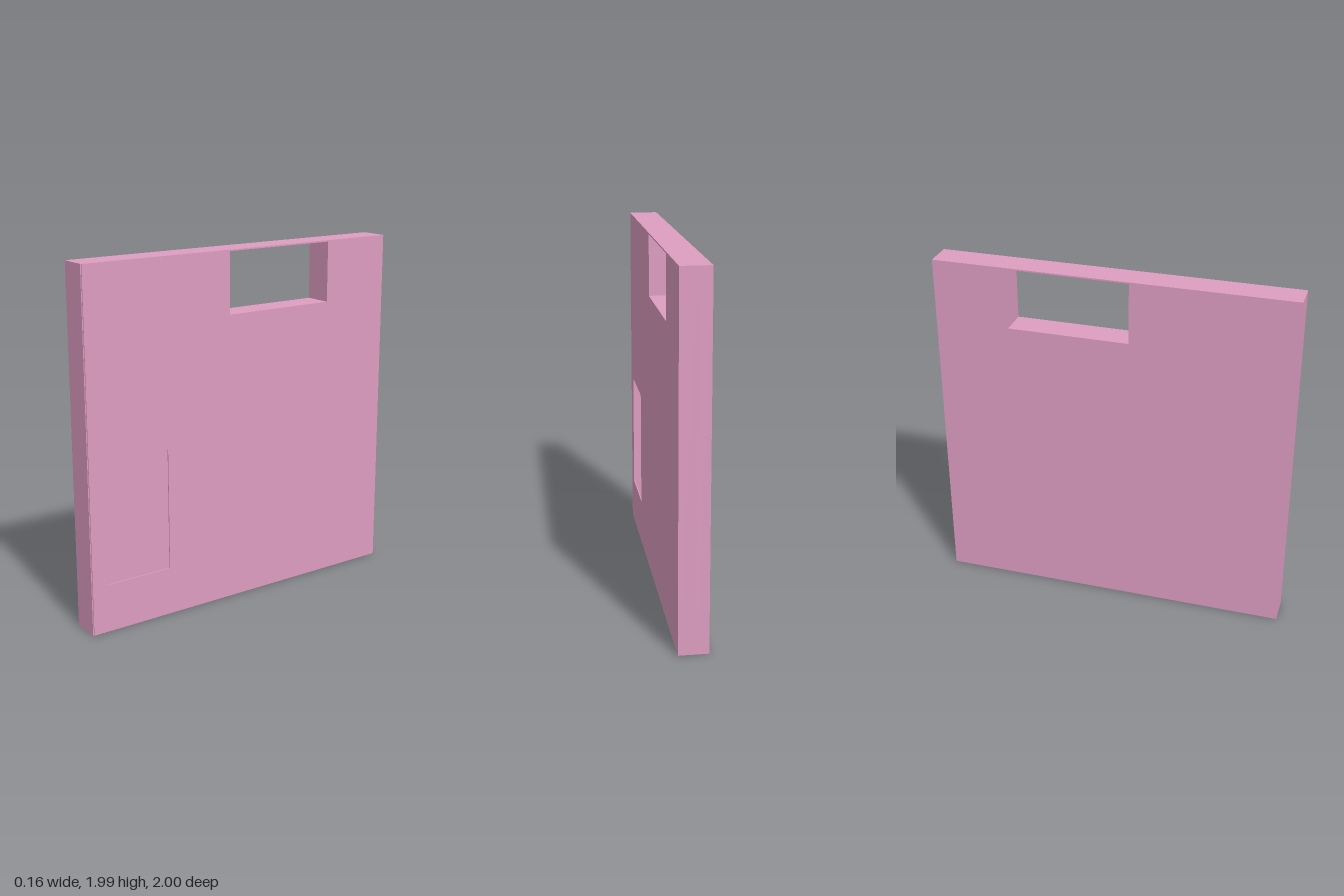
import * as THREE from 'three';

const material = new THREE.MeshStandardMaterial({ color: 0xdd9dc1, flatShading: true });

const HEIGHT = 1.99, HALF_THICK = 0.081;
// rectangles are [zFront, zBack, yBottom, yTop]
const WINDOW = [0.1, -0.58, 1.64, 1.982];
const SLOT = [0.9, 0.51, 0.27, 0.955];
const CAVITY = [0.9, -0.8, 0.05, 1.5];

// rectangle outline in the side plane, where shape x runs along -z
function rectangle(Type, [zFront, zBack, yBottom, yTop]) {
  const path = new Type();
  path.moveTo(-zFront, yBottom);
  path.lineTo(-zBack, yBottom);
  path.lineTo(-zBack, yTop);
  path.lineTo(-zFront, yTop);
  path.closePath();
  return path;
}

// flat layer with rectangular holes, spanning x0 to x1
function layer(name, x0, x1, zFront, holes) {
  const shape = rectangle(THREE.Shape, [zFront, -1, 0, HEIGHT]);
  shape.holes = holes.map((hole) => rectangle(THREE.Path, hole));
  const geometry = new THREE.ExtrudeGeometry(shape, { depth: x1 - x0, bevelEnabled: false });
  geometry.rotateY(Math.PI / 2);
  geometry.translate(x0, 0, 0);
  const mesh = new THREE.Mesh(geometry, material);
  mesh.name = name;
  return mesh;
}

export function createModel() {
  const group = new THREE.Group();
  group.name = 'slottedPanel';
  const floor = -0.01, coverBack = HALF_THICK - 0.006;
  group.add(
    // solid back with the window cut through
    layer('backPlate', -HALF_THICK, floor, 1, [WINDOW]),
    // hollow core behind the slot
    layer('core', floor, coverBack, 1, [WINDOW, CAVITY]),
    // thin cover, set back slightly at the front edge
    layer('cover', coverBack, HALF_THICK, 0.995, [WINDOW, SLOT]),
  );
  return group;
}
